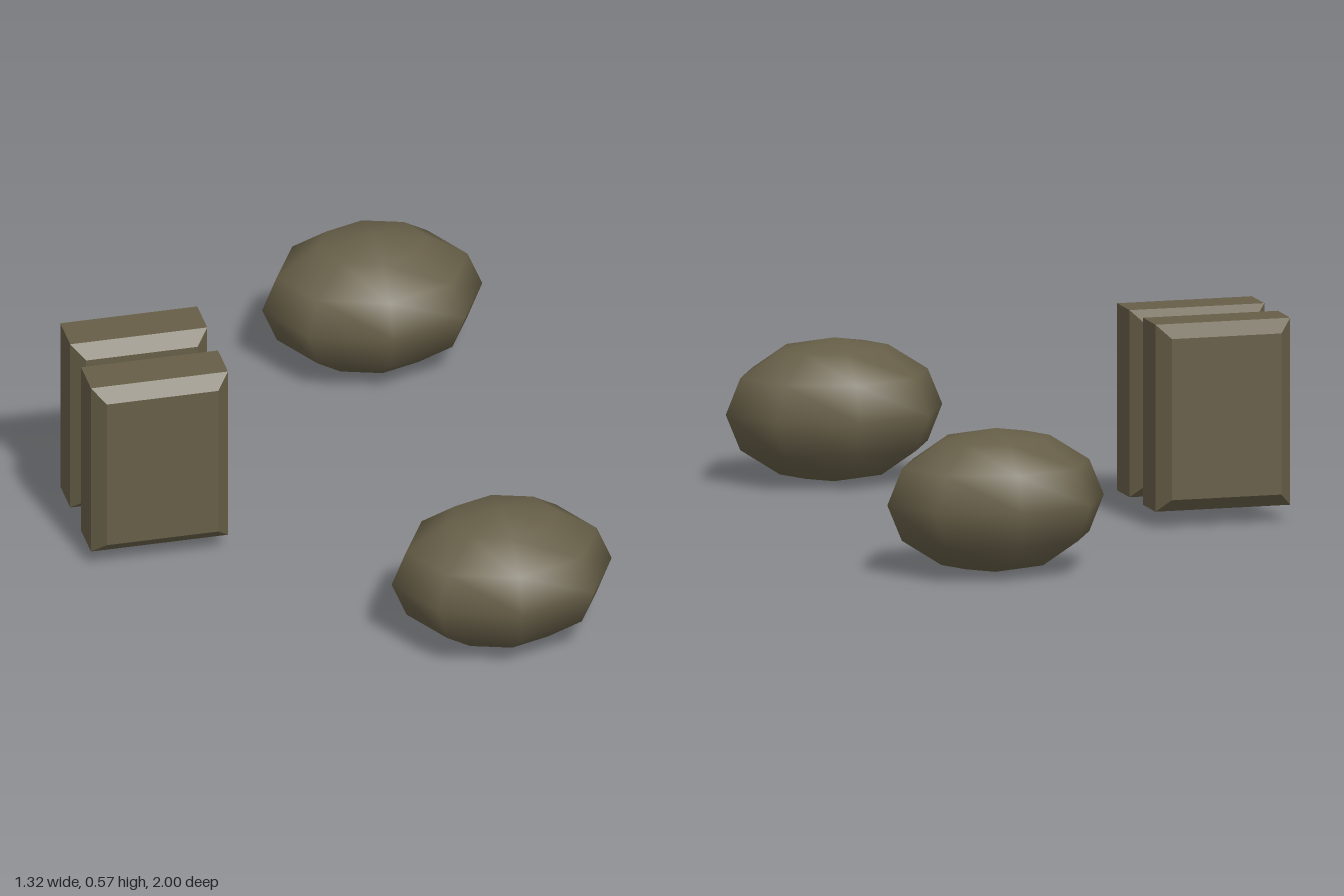
import * as THREE from 'three';

export function createModel() {
  const model = new THREE.Group();
  const olive = new THREE.MeshStandardMaterial({ color: 0x665e47 });
  olive.name = 'olive drab';

  // Rounded pods: a matching pair at the front and back
  const podGeometry = new THREE.SphereGeometry(1, 8, 6).scale(0.31, 0.2, 0.243);
  for (const side of [1, -1]) {
    const pod = new THREE.Mesh(podGeometry, olive);
    pod.name = side > 0 ? 'frontPod' : 'backPod';
    pod.position.set(0.348, 0.2, side * 0.757);
    model.add(pod);
  }

  // Upright blocks with both broad faces chamfered
  const width = 0.386, height = 0.52, depth = 0.188, bevel = 0.036;
  const w = width / 2 - bevel, h = height / 2 - bevel;
  const face = new THREE.Shape([
    new THREE.Vector2(-w, -h), new THREE.Vector2(w, -h),
    new THREE.Vector2(w, h), new THREE.Vector2(-w, h),
  ]);
  const blockGeometry = new THREE.ExtrudeGeometry(face, {
    depth: depth - 2 * bevel, bevelEnabled: true, bevelSegments: 1,
    bevelSize: bevel, bevelThickness: bevel,
  }).center();
  for (const [name, z] of [['frontBlock', 0.081], ['backBlock', -0.162]]) {
    const block = new THREE.Mesh(blockGeometry, olive);
    block.name = name;
    block.position.set(-0.467, 0.306, z);
    model.add(block);
  }

  return model;
}
